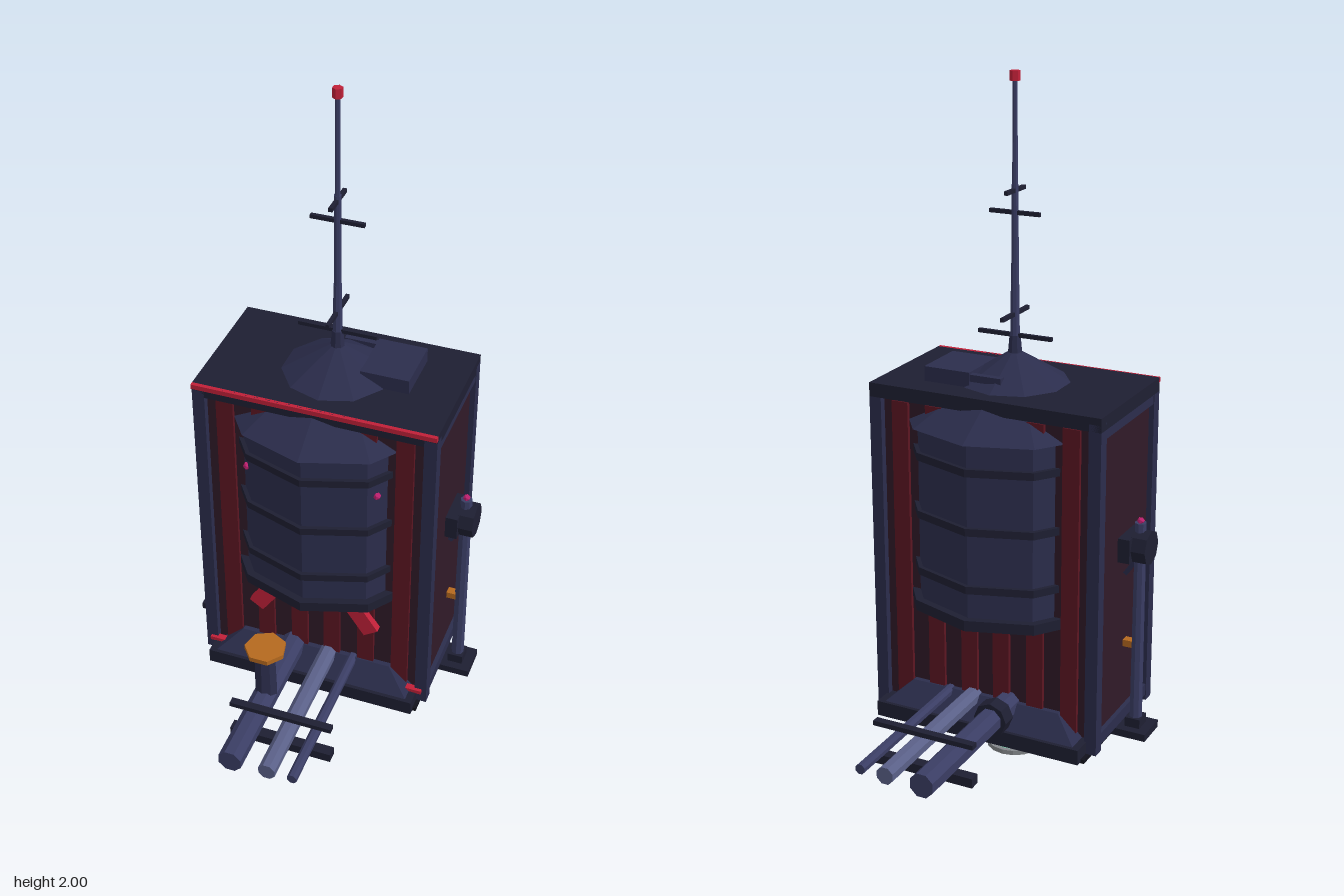
import * as THREE from 'three';

const mat = (color, flatShading = true) => new THREE.MeshStandardMaterial({ color, flatShading });
const NAVY = mat(0x2b2d4c), DARK = mat(0x1e1f32), BLACK = mat(0x12121c), PIPE = mat(0x3a3d64), PALE = mat(0x5a6088);
const MAROON = mat(0x301a28), RIB = mat(0x5c1622), RED = mat(0xc02038), ORANGE = mat(0xb5691f);
const PINK = mat(0xc02070), MINT = mat(0x86c8b0), GREY = mat(0x85888c);

export function createModel() {
  const root = new THREE.Group();

  const add = (name, geo, material, x, y, z, parent = root) => {
    const m = new THREE.Mesh(geo, material);
    m.name = name;
    m.position.set(x, y, z);
    parent.add(m);
    return m;
  };
  const box = (name, w, h, d, material, x, y, z, parent) =>
    add(name, new THREE.BoxGeometry(w, h, d), material, x, y, z, parent);
  // Upright cylinder given by its lower and upper heights
  const cyl = (name, rTop, rBottom, y0, y1, sides, material, x = 0, z = 0, parent = root) =>
    add(name, new THREE.CylinderGeometry(rTop, rBottom, y1 - y0, sides), material, x, (y0 + y1) / 2, z, parent);
  const group = (name) => {
    const g = new THREE.Group();
    g.name = name;
    root.add(g);
    return g;
  };

  // Housing: base, walls, corner frame and roof
  const housing = group('housing');
  box('basePlate', 0.64, 0.045, 0.51, DARK, 0, 0.18, 0, housing);
  box('baseUnderside', 0.66, 0.012, 0.47, BLACK, 0, 0.16, 0, housing);
  box('walls', 0.67, 0.94, 0.36, MAROON, 0, 0.66, 0, housing);
  box('roof', 0.7, 0.04, 0.4, DARK, 0, 1.135, 0, housing);
  box('roofTrim', 0.7, 0.014, 0.012, RED, 0, 1.148, 0.2, housing);
  for (const sx of [-1, 1]) {
    for (const sz of [-1, 1]) box('cornerPost', 0.036, 0.97, 0.036, NAVY, sx * 0.332, 0.65, sz * 0.182, housing);
    box('sideTopRail', 0.03, 0.035, 0.36, NAVY, sx * 0.333, 1.105, 0, housing);
    box('sideBottomRail', 0.03, 0.035, 0.36, NAVY, sx * 0.333, 0.2, 0, housing);
    box('cornerMarker', 0.05, 0.012, 0.02, RED, sx * 0.31, 0.207, 0.2, housing);
  }

  // Vertical ribs and a sloped sill on the front and back walls
  for (const sz of [-1, 1]) {
    for (const x of [-0.26, -0.155, -0.05, 0.05, 0.155, 0.26])
      box('wallRib', 0.05, 0.9, 0.016, RIB, x, 0.66, sz * 0.183, housing);
    const slope = new THREE.BoxGeometry(0.6, 0.065, 0.07);
    const p = slope.attributes.position;
    for (let i = 0; i < p.count; i++) {
      if (p.getY(i) > 0) {
        p.setX(i, p.getX(i) * 0.77);
        if (p.getZ(i) * sz > 0) p.setZ(i, -0.015 * sz);
      }
    }
    slope.computeVertexNormals();
    add('slopedSill', slope, NAVY, 0, 0.234, sz * 0.21, housing);
  }

  // Tank bulging through the walls, with its cone through the roof
  const tank = group('tank');
  cyl('tankBody', 0.29, 0.29, 0.54, 1.07, 10, NAVY, 0, 0, tank);
  cyl('tankFloor', 0.312, 0.312, 0.522, 0.553, 10, DARK, 0, 0, tank);
  for (const y of [0.64, 0.81, 0.98]) cyl('tankHoop', 0.302, 0.302, y - 0.011, y + 0.011, 10, DARK, 0, 0, tank);
  cyl('tankCone', 0.015, 0.312, 1.06, 1.24, 10, NAVY, 0, 0, tank);
  for (const sx of [-1, 1]) {
    const brace = box('tankBrace', 0.05, 0.16, 0.022, RED, sx * 0.133, 0.465, 0.2, tank);
    brace.rotation.z = sx * 0.6;
    add('tankLamp', new THREE.IcosahedronGeometry(0.012, 0), PINK, sx * 0.19, 0.92, 0.21, tank);
  }

  // Roof hatch and its conduit
  box('roofHatch', 0.14, 0.045, 0.165, NAVY, 0.15, 1.175, -0.037);
  box('roofConduit', 0.23, 0.02, 0.02, NAVY, 0.1, 1.182, -0.108);

  // Mast with crossed aerials and a red beacon
  const mast = group('mast');
  cyl('mastCollar', 0.016, 0.022, 1.22, 1.285, 8, NAVY, 0, 0, mast);
  cyl('mastLower', 0.012, 0.014, 1.28, 1.43, 8, PIPE, 0, 0, mast);
  cyl('mastMiddle', 0.01, 0.011, 1.43, 1.7, 8, PIPE, 0, 0, mast);
  cyl('mastUpper', 0.007, 0.008, 1.7, 1.98, 8, PIPE, 0, 0, mast);
  for (const [y, half] of [[1.285, 0.112], [1.625, 0.075]]) box('aerialAcross', half * 2, 0.011, 0.011, DARK, 0, y, 0, mast);
  for (const [y, half] of [[1.345, 0.08], [1.685, 0.055]]) box('aerialAlong', 0.011, 0.011, half * 2, DARK, 0, y, 0, mast);
  cyl('beacon', 0.014, 0.014, 1.973, 2.0, 6, RED, 0, 0, mast);

  // Pipes running front to back, with clamp bars
  const pipes = group('pipes');
  for (const [x, r, m] of [[-0.07, 0.036, PIPE], [0.04, 0.026, PALE], [0.115, 0.015, PIPE]]) {
    const geo = new THREE.CylinderGeometry(r, r, 1.365, 8).rotateY(Math.PI / 8).rotateX(Math.PI / 2);
    add('pipe', geo, m, x, 0.257, 0, pipes);
  }
  for (const sz of [-1, 1]) {
    box('upperClampBar', 0.305, 0.014, 0.022, DARK, 0.017, 0.302, sz * 0.512, pipes);
    box('lowerClampBar', 0.305, 0.028, 0.032, DARK, 0.017, 0.197, sz * 0.512, pipes);
  }
  const flange = new THREE.CylinderGeometry(0.05, 0.05, 0.045, 8).rotateX(Math.PI / 2);
  add('pipeFlange', flange, DARK, -0.07, 0.257, -0.275, pipes);

  // Valve on the widest pipe
  cyl('valveStem', 0.03, 0.034, 0.27, 0.435, 8, NAVY, -0.07, 0.41);
  cyl('valveWheel', 0.06, 0.06, 0.432, 0.447, 7, ORANGE, -0.068, 0.409).rotation.y = Math.PI;

  // Side poles with feet, wall clamps and lamps
  for (const sx of [-1, 1]) {
    const pole = group(sx > 0 ? 'leftPole' : 'rightPole');
    box('poleFoot', 0.115, 0.022, 0.1, DARK, sx * 0.377, 0.166, 0, pole);
    box('poleSocket', 0.045, 0.03, 0.05, DARK, sx * 0.385, 0.19, 0, pole);
    cyl('pole', 0.017, 0.019, 0.17, 0.8, 8, PIPE, sx * 0.386, 0, pole);
    const clamp = new THREE.CylinderGeometry(0.05, 0.05, 0.05, 8).rotateZ(Math.PI / 2);
    add('poleClamp', clamp, DARK, sx * 0.394, 0.73, 0, pole);
    box('clampMount', 0.035, 0.07, 0.115, DARK, sx * 0.36, 0.73, 0, pole);
    const strut = box('clampStrut', 0.012, 0.07, 0.02, NAVY, sx * 0.365, 0.67, 0, pole);
    strut.rotation.z = -sx * 0.6;
    add('poleLamp', new THREE.IcosahedronGeometry(0.011, 0), PINK, sx * 0.386, 0.805, 0, pole);
    box('poleTag', 0.03, 0.02, 0.025, ORANGE, sx * 0.36, 0.43, 0, pole);
  }

  // Nozzle hanging beneath the base
  const nozzle = group('nozzle');
  box('nozzleMount', 0.16, 0.02, 0.13, DARK, 0, 0.148, 0, nozzle);
  cyl('nozzleNeck', 0.042, 0.042, 0.09, 0.15, 10, GREY, 0, 0, nozzle);
  for (let i = 0; i < 4; i++) {
    const a = Math.PI / 4 + i * Math.PI / 2;
    cyl('nozzleStrut', 0.008, 0.008, 0.07, 0.15, 6, BLACK, Math.sin(a) * 0.085, Math.cos(a) * 0.085, nozzle);
  }
  cyl('nozzleCollar', 0.066, 0.066, 0.076, 0.098, 10, BLACK, 0, 0, nozzle);
  cyl('nozzleBell', 0.05, 0.076, 0.03, 0.08, 12, MINT, 0, 0, nozzle);
  cyl('nozzleRim', 0.084, 0.084, 0.022, 0.036, 16, GREY, 0, 0, nozzle);
  cyl('nozzleTip', 0.032, 0.022, 0, 0.024, 8, BLACK, 0, 0, nozzle);

  return root;
}
